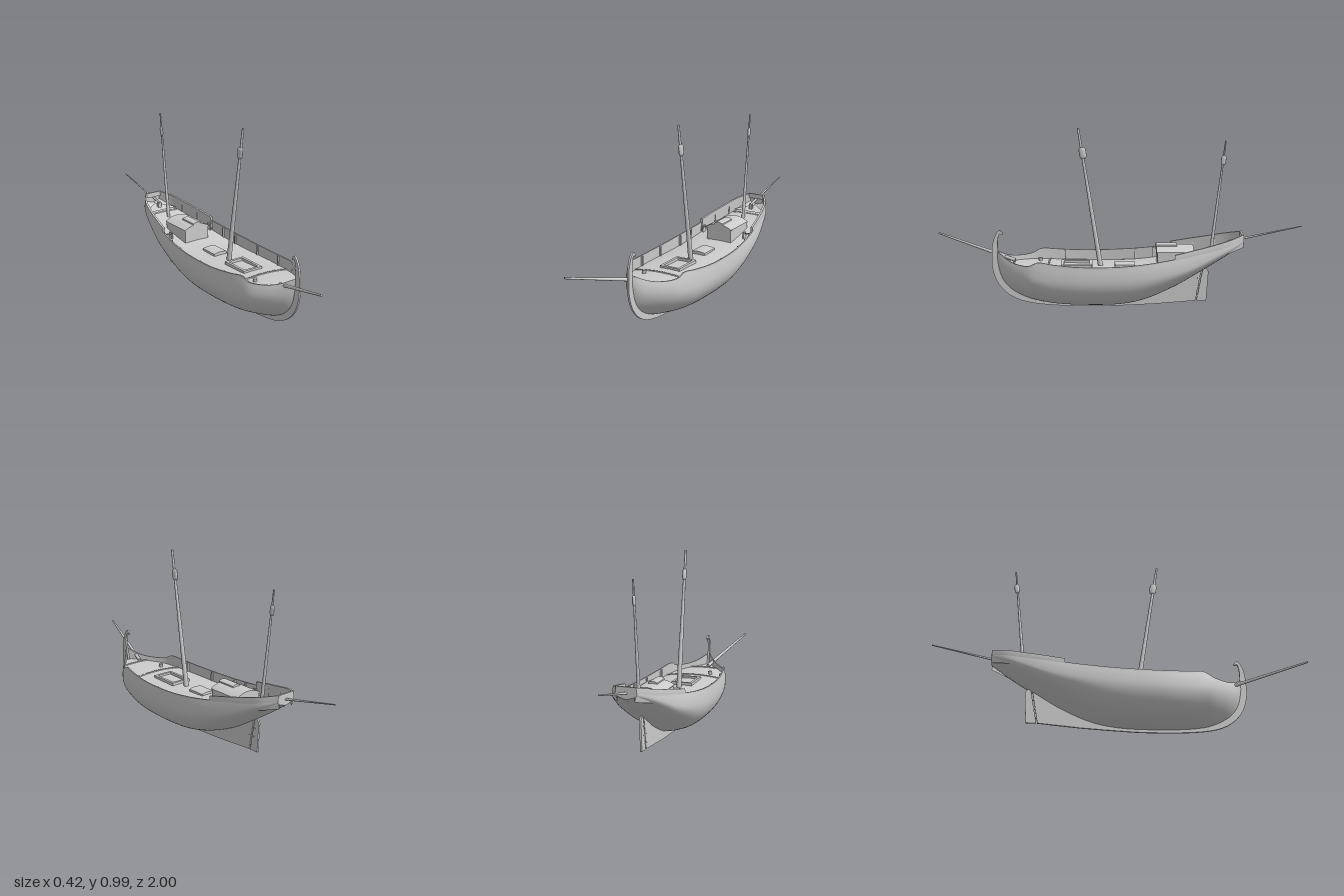
import * as THREE from 'three';
import { toCreasedNormals } from 'three/addons/utils/BufferGeometryUtils.js';

const mat = new THREE.MeshStandardMaterial({ color: 0xcccccc, side: THREE.DoubleSide });
const V = (x, y, z) => new THREE.Vector3(x, y, z);

// Hull stations: z, half beam, keel y, height of widest point, rim y, rim half width
const STATIONS = [
  [-0.68, 0.056, 0.35, 0.378, 0.388, 0.055],
  [-0.6, 0.106, 0.293, 0.345, 0.368, 0.104],
  [-0.5, 0.138, 0.228, 0.303, 0.345, 0.134],
  [-0.4, 0.163, 0.165, 0.262, 0.325, 0.156],
  [-0.3, 0.182, 0.108, 0.235, 0.305, 0.173],
  [-0.15, 0.201, 0.046, 0.21, 0.284, 0.193],
  [0, 0.209, 0.019, 0.2, 0.272, 0.203],
  [0.2, 0.206, 0.016, 0.195, 0.27, 0.2],
  [0.35, 0.19, 0.024, 0.195, 0.28, 0.182],
  [0.43, 0.175, 0.034, 0.2, 0.288, 0.165],
  [0.48, 0.159, 0.045, 0.205, 0.267, 0.15],
  [0.55, 0.111, 0.075, 0.215, 0.266, 0.102],
  [0.6, 0.068, 0.11, 0.225, 0.279, 0.058],
  [0.64, 0.03, 0.165, 0.245, 0.302, 0.022],
  [0.66, 0.004, 0.24, 0.28, 0.316, 0.004],
];
// Deck height along the ship
const DECK = [[-0.68, 0.34], [-0.5, 0.297], [-0.3, 0.247], [-0.1, 0.217], [0.1, 0.212], [0.38, 0.224], [0.66, 0.25]];

// Smooth interpolation of a table by its first column
function sample(table, z) {
  let i = 0;
  while (i < table.length - 2 && z > table[i + 1][0]) i++;
  const slope = (k, c) => {
    const a = table[Math.max(k - 1, 0)], b = table[Math.min(k + 1, table.length - 1)];
    return (b[c] - a[c]) / (b[0] - a[0]);
  };
  const p = table[i], q = table[i + 1], h = q[0] - p[0], t = (z - p[0]) / h, t2 = t * t, t3 = t2 * t;
  return p.map((v, c) => (2 * t3 - 3 * t2 + 1) * v + (t3 - 2 * t2 + t) * h * slope(i, c)
    + (3 * t2 - 2 * t3) * q[c] + (t3 - t2) * h * slope(i + 1, c));
}
const range = (a, b, n) => Array.from({ length: n + 1 }, (_, i) => a + (b - a) * i / n);
const deckY = z => sample(DECK, z)[1];
const deckTop = (z, x = 0) => deckY(z) + 0.02 * (deckHalf(z) / 0.2) ** 2 * (1 - (x / deckHalf(z)) ** 2);

// Skin through rows of points
function loft(rows) {
  const n = rows[0].length, index = [];
  for (let j = 0; j < rows.length - 1; j++)
    for (let i = 0; i < n - 1; i++) {
      const a = j * n + i, b = a + n;
      index.push(a, a + 1, b, a + 1, b + 1, b);
    }
  const g = new THREE.BufferGeometry().setFromPoints(rows.flat());
  g.setIndex(index);
  g.computeVertexNormals();
  return g;
}

// Hollowness of the lower hull: full amidships, wineglass towards the ends
const hollow = z => 1.08 + 0.75 * THREE.MathUtils.smoothstep(-z, 0, 0.45) + 0.9 * THREE.MathUtils.smoothstep(z, 0.3, 0.62);

// Cross-section from the left rim, under the keel, to the right rim
function section(z) {
  const [, w, b, m, t, r] = sample(STATIONS, z);
  const half = [];
  for (const u of range(1, 0, 4)) half.push(V(w + (r - w) * u * u, m + (t - m) * u, z));
  for (const a of range(Math.PI / 2, 0, 16).slice(1))
    half.push(V(w * Math.pow(Math.max(Math.sin(a), 0), hollow(z)), m - (m - b) * Math.cos(a), z));
  return [...half, ...half.slice(0, -1).reverse().map(p => V(-p.x, p.y, p.z))];
}
// Half width of the hull at deck height
function deckHalf(z) {
  const [, w, b, m, t, r] = sample(STATIONS, z), y = deckY(z);
  const c = Math.min((m - y) / (m - b), 1);
  const x = y > m ? w + (r - w) * ((y - m) / (t - m)) ** 2 : w * Math.pow(1 - c * c, hollow(z) / 2);
  return Math.max(x - 0.002, 0.001);
}

export function createModel() {
  const group = new THREE.Group();
  const add = (name, geo, x = 0, y = 0, z = 0) => {
    const mesh = new THREE.Mesh(geo, mat);
    mesh.name = name;
    mesh.position.set(x, y, z);
    group.add(mesh);
    return mesh;
  };
  const box = (name, w, h, d, x, y, z) => add(name, new THREE.BoxGeometry(w, h, d), x, y, z);
  // Tapered round pole between two points
  const pole = (name, a, b, r0, r1) => {
    const mesh = add(name, new THREE.CylinderGeometry(r1, r0, a.distanceTo(b), 14));
    mesh.position.copy(a).lerp(b, 0.5);
    mesh.quaternion.setFromUnitVectors(V(0, 1, 0), b.clone().sub(a).normalize());
    return mesh;
  };
  // Flat plate drawn in (z, y), centred on x = 0
  const plate = (name, shape, depth) => {
    const g = new THREE.ExtrudeGeometry(shape, { depth, bevelEnabled: false, curveSegments: 20 });
    g.translate(0, 0, -depth / 2).rotateY(-Math.PI / 2);
    return add(name, toCreasedNormals(g, 0.6));
  };
  const pts = list => list.map(p => new THREE.Vector2(...p));

  // Hull skin and transom
  add('hull', loft(range(0.66, -0.68, 90).map(section)));
  const aft = section(-0.68);
  add('transom', loft([aft, aft.map(p => V(0, p.y, p.z))]));
  box('transomRail', 0.104, 0.028, 0.01, 0, 0.399, -0.676);

  // Cambered deck
  add('deck', loft(range(0.64, -0.675, 60).map(z => {
    const h = deckHalf(z);
    return range(-h, h, 10).map(x => V(x, deckTop(z, x), z));
  })));

  // Bulwarks: inner planking with a cap, mirrored; the after part is raised
  const bulwark = (name, z0, z1, lift, lean, thick) => {
    for (const s of [1, -1]) {
      const rows = range(z0, z1, 30).map(z => {
        const [, , , , t, r] = sample(STATIONS, z);
        const out = r + 0.001, inn = Math.max(r - thick, 0.001), top = t + lift;
        return [[out, t - 0.006], [out - lean, top], [Math.max(inn - lean, 0.001), top],
          [inn, deckY(z)], [out, t - 0.006]].map(([x, y]) => V(s * x, y, z));
      });
      const cap = row => row.map(() => row[0].clone().add(row[2]).multiplyScalar(0.5));
      const all = [cap(rows[0]), ...rows, cap(rows.at(-1))];
      if (s < 0) all.forEach(r => r.reverse());
      add(name, toCreasedNormals(loft(all), 0.6));
    }
  };
  bulwark('bowBulwark', 0.65, 0.44, 0.001, 0, 0.006);
  bulwark('midBulwark', 0.44, -0.3, 0.003, 0.001, 0.006);
  bulwark('sternBulwark', -0.3, -0.68, 0.025, 0.004, 0.011);

  // Keel and curled stem post
  const keel = new THREE.Shape();
  keel.moveTo(-0.427, 0.03);
  keel.lineTo(-0.2, 0.012);
  keel.splineThru(pts([[0, 0.003], [0.15, 0], [0.35, 0.007], [0.48, 0.022], [0.56, 0.046], [0.62, 0.086],
    [0.665, 0.145], [0.688, 0.22], [0.69, 0.29], [0.683, 0.36], [0.665, 0.41], [0.645, 0.43], [0.628, 0.415]]));
  keel.lineTo(0.63, 0.405);
  keel.splineThru(pts([[0.645, 0.41], [0.654, 0.385], [0.657, 0.35], [0.654, 0.31], [0.64, 0.25]]));
  keel.splineThru(pts([[0.58, 0.16], [0.45, 0.07], [0.2, 0.035], [0, 0.04], [-0.2, 0.085], [-0.38, 0.17], [-0.46, 0.215]]));
  plate('keel', keel, 0.011);

  // Rudder with its hinges
  plate('rudder', new THREE.Shape(pts([[-0.434, 0.03], [-0.488, 0.03], [-0.498, 0.195], [-0.488, 0.212], [-0.475, 0.222], [-0.465, 0.2]])), 0.01);
  for (const y of [0.06, 0.11, 0.16]) box('rudderHinge', 0.014, 0.006, 0.035, 0, y, -0.432 - (y - 0.03) * 0.17);

  // Masts, each with a thickened block near the head
  const mast = (name, a, b, r, f, len) => {
    pole(name, a, b, r, r * 0.42);
    const R = r * 1.1;
    const block = add(name + 'Block', new THREE.LatheGeometry(
      pts([[0, -0.5], [R * 0.7, -0.5], [R, -0.3], [R, 0.3], [R * 0.7, 0.5], [0, 0.5]].map(([x, y]) => [x, y * len])), 12));
    block.position.copy(a).lerp(b, f).add(V(0, 0, -r * 0.2));
    block.quaternion.setFromUnitVectors(V(0, 1, 0), b.clone().sub(a).normalize());
    block.scale.set(0.7, 1, 1.25);
  };
  mast('mainMast', V(0, 0.21, 0.093), V(0, 0.987, 0.213), 0.014, 0.828, 0.06);
  mast('mizzenMast', V(0, 0.29, -0.506), V(0, 0.918, -0.577), 0.01, 0.833, 0.05);

  // Bowsprit set to one side, and the stern spar
  pole('bowsprit', V(-0.025, 0.257, 0.565), V(-0.14, 0.384, 1), 0.01, 0.005);
  pole('sternSpar', V(0, 0.365, -0.6), V(0, 0.449, -1), 0.007, 0.003);
  box('sternSparBitt', 0.02, 0.035, 0.015, 0, 0.352, -0.61);

  // Cabin with arched roof and sliding hatch
  const arch = (w, base, side, top) => {
    const s = new THREE.Shape();
    s.moveTo(-w, base);
    s.lineTo(w, base);
    s.lineTo(w, side);
    s.quadraticCurveTo(0, top * 2 - side, -w, side);
    return s;
  };
  const archBlock = (name, shape, z0, z1) => add(name, toCreasedNormals(
    new THREE.ExtrudeGeometry(shape, { depth: z1 - z0, bevelEnabled: false }), 0.5), 0, 0, z0);
  archBlock('cabin', arch(0.078, 0.21, 0.32, 0.343), -0.407, -0.212);
  archBlock('cabinRoof', arch(0.082, 0.318, 0.323, 0.347), -0.41, -0.208);
  archBlock('cabinHatch', arch(0.025, 0.335, 0.352, 0.359), -0.32, -0.207);

  // Open fore hatch coaming
  const coaming = new THREE.Shape(pts([[-0.06, -0.085], [0.06, -0.085], [0.06, 0.085], [-0.06, 0.085]]));
  coaming.holes.push(new THREE.Path(pts([[-0.045, -0.07], [-0.045, 0.07], [0.045, 0.07], [0.045, -0.07]])));
  const frame = new THREE.ExtrudeGeometry(coaming, { depth: 0.025, bevelEnabled: false }).rotateX(-Math.PI / 2);
  add('foreHatchCoaming', frame, 0, 0.224, 0.226);
  // Low covered hatch behind the main mast
  archBlock('midHatch', arch(0.042, 0.215, 0.245, 0.251), -0.092, 0.018);

  // Thin deck beams, and the stern platform
  for (const [name, z] of [['bowBeam', 0.57], ['foreBeam', 0.38], ['aftBeam', -0.57]]) {
    const h = deckHalf(z) - 0.006;
    add(name, loft([0.004, 0.004, -0.004, -0.004].map((dz, i) => range(-h, h, 8).map(x =>
      V(x, deckTop(z, x) + (i % 3 ? 0.004 : -0.004), z + dz)))));
  }
  add('sternPlatform', loft(range(-0.575, -0.675, 6).map(z => {
    const h = deckHalf(z) - 0.006;
    return [V(-h, deckY(z) + 0.015, z), V(h, deckY(z) + 0.015, z)];
  })));

  // Foredeck bollard, pin rails and bulwark frames
  add('bollard', new THREE.CylinderGeometry(0.012, 0.01, 0.02, 12), -0.08, 0.247, 0.43);
  for (const s of [1, -1]) {
    box('pinRail', 0.058, 0.006, 0.008, s * 0.137, 0.285, -0.305);
    for (const x of [0.115, 0.15]) box('pinRailPost', 0.006, 0.04, 0.03, s * x, 0.272, -0.305);
    for (const z of [0.3, 0.1, -0.1, -0.2, -0.42, -0.54]) {
      const [, , , , t, r] = sample(STATIONS, z);
      box('bulwarkFrame', 0.01, t - deckY(z), 0.01, s * (r - 0.01), (t + deckY(z)) / 2, z);
    }
  }
  return group;
}
